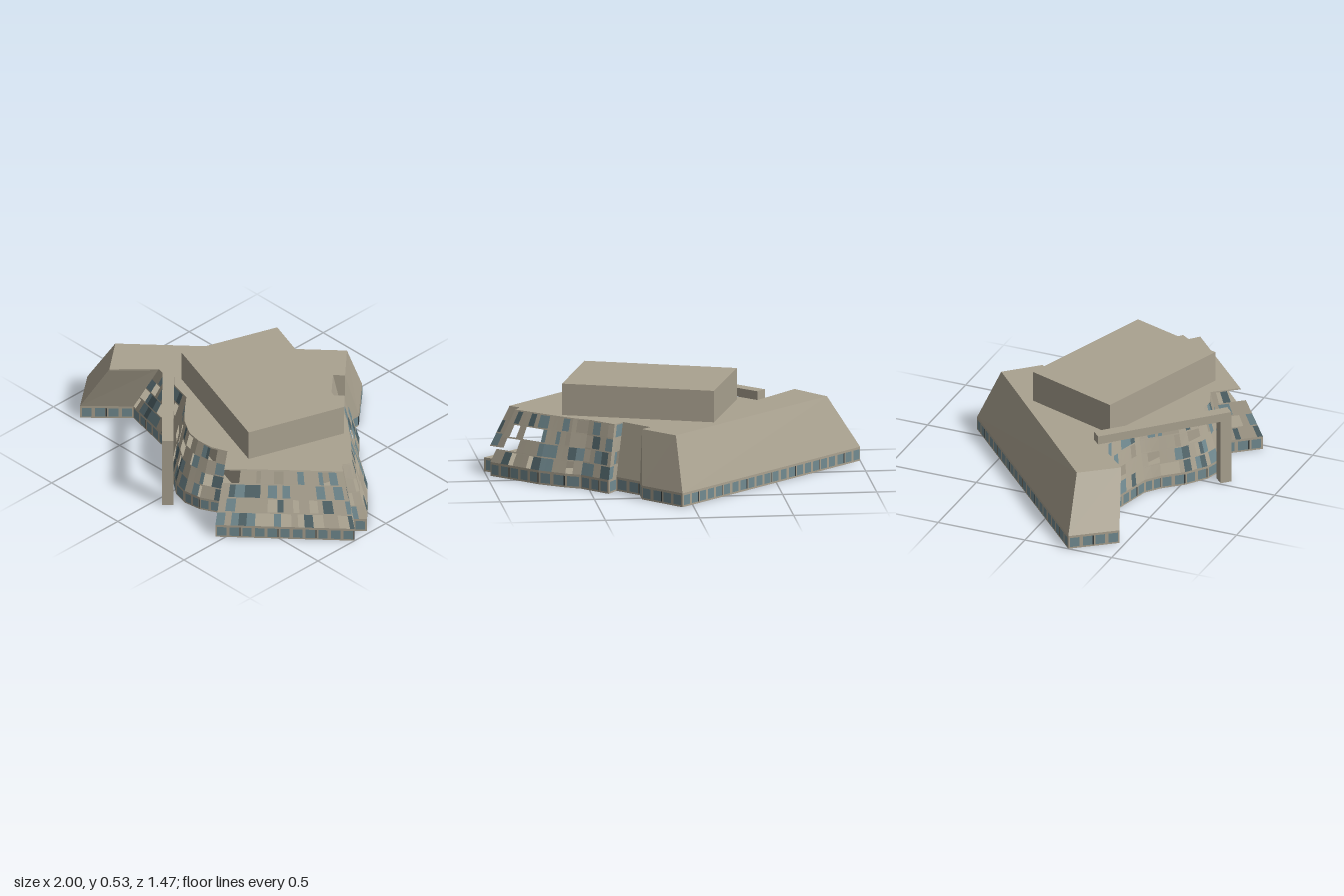
import * as THREE from 'three';

const mat = (name, color) => {
  const m = new THREE.MeshStandardMaterial({ color });
  m.name = name;
  return m;
};

// Outline, counterclockwise from above: [base x, base z, roof x, roof z]
const OUTLINE = [
  [-1, 0.25, -0.82, 0.22], [-0.83, 0.47, -0.67, 0.41], [-0.63, 0.27, -0.49, 0.22],
  [-0.25, 0.36, -0.2, 0.3], [-0.17, 0.42, -0.13, 0.38], [-0.08, 0.52, -0.05, 0.46],
  [0.03, 0.6, 0.05, 0.52], [0.12, 0.625, 0.13, 0.535], [0.22, 0.61, 0.22, 0.53],
  [0.32, 0.56, 0.31, 0.495], [0.46, 0.73, 0.415, 0.62], [1, 0.23, 0.87, 0.19],
  [0.93, 0.17, 0.82, 0.145], [0.98, 0.12, 0.85, 0.1], [0.75, -0.11, 0.68, -0.05],
  [0.62, -0.2, 0.57, -0.14], [0.54, -0.24, 0.49, -0.19], [0.41, -0.38, 0.37, -0.31],
  [0.36, -0.31, 0.32, -0.26], [0.25, -0.43, 0.19, -0.4], [0.25, -0.53, 0.24, -0.44],
  [0.06, -0.74, 0.08, -0.61],
];
const FACADE_FROM = 2, FACADE_TO = 18;
const BASE_Y = 0.075, ROOF_Y = 0.36, ROWS = 4;

// Small seeded generator
let seed = 7;
const rand = () => (seed = (seed * 16807) % 2147483647) / 2147483647;

// Collects quads into one flat-shaded mesh
class Quads {
  constructor() { this.p = []; }
  add(a, b, c, d) {
    for (const v of [a, b, c, a, c, d]) this.p.push(v.x, v.y, v.z);
  }
  mesh(name, material) {
    const g = new THREE.BufferGeometry();
    g.setAttribute('position', new THREE.Float32BufferAttribute(this.p, 3));
    g.computeVertexNormals();
    const m = new THREE.Mesh(g, material);
    m.name = name;
    return m;
  }
}

// Upright prism over a plan polygon of [x, z] points
function prism(name, pts, y0, y1, material) {
  const shape = new THREE.Shape(pts.map(([x, z]) => new THREE.Vector2(x, -z)));
  const g = new THREE.ExtrudeGeometry(shape, { depth: y1 - y0, bevelEnabled: false });
  g.rotateX(-Math.PI / 2).translate(0, y0, 0);
  const m = new THREE.Mesh(g, material);
  m.name = name;
  return m;
}

export function createModel() {
  const group = new THREE.Group();
  const stone = mat('stone', 0xaaa290);
  const glass = mat('glass', 0x718a90);
  const darkGlass = mat('darkGlass', 0x52666b);
  const mullion = mat('mullion', 0x343b3d);

  // Base storey, roof slab, central core
  group.add(prism('baseStorey', OUTLINE.map(p => [p[0], p[1]]), 0, BASE_Y, stone));
  group.add(prism('roofSlab', OUTLINE.map(p => [p[2], p[3]]), ROOF_Y - 0.008, ROOF_Y, stone));
  group.add(prism('core', [[-0.155, -0.325], [-0.34, 0.2], [0.44, 0.465], [0.62, -0.06]],
    BASE_Y, 0.53, stone));

  // Freestanding frame: long beam and its outer leg
  const frame = new THREE.Group();
  frame.name = 'entranceFrame';
  frame.add(prism('beam', [[-0.487, 0.197], [0.053, 0.727], [0.096, 0.685], [-0.442, 0.152]],
    ROOF_Y + 0.005, 0.412, stone));
  frame.add(prism('leg', [[0.01, 0.685], [0.053, 0.727], [0.096, 0.685], [0.053, 0.643]],
    0, ROOF_Y + 0.005, stone));
  group.add(frame);

  const walls = new Quads(), rails = new Quads();
  const stonePanels = new Quads(), glassPanels = new Quads(), darkPanels = new Quads();
  const baseWindows = new Quads(), baseMullions = new Quads();

  OUTLINE.forEach((p, i) => {
    const q = OUTLINE[(i + 1) % OUTLINE.length];
    const b0 = new THREE.Vector3(p[0], BASE_Y, p[1]), b1 = new THREE.Vector3(q[0], BASE_Y, q[1]);
    const t0 = new THREE.Vector3(p[2], ROOF_Y, p[3]), t1 = new THREE.Vector3(q[2], ROOF_Y, q[3]);
    const length = b0.distanceTo(b1);
    const out = new THREE.Vector3(b0.z - b1.z, 0, b1.x - b0.x).normalize();
    out.set((b0.z - b1.z) / length, 0, (b1.x - b0.x) / length);
    const at = (u, v) => b0.clone().lerp(b1, u).lerp(t0.clone().lerp(t1, u), v);

    // Window band of the base storey
    const n = Math.max(1, Math.round(length / 0.066));
    const pane = (u0, u1, y0, y1, set) => {
      const pt = (u, y) => b0.clone().lerp(b1, u).setY(y).addScaledVector(out, 0.002);
      set.add(pt(u0, y0), pt(u1, y0), pt(u1, y1), pt(u0, y1));
    };
    for (let k = 0; k < n; k++) {
      pane((k + 0.13) / n, (k + 0.87) / n, 0.01, 0.063, baseWindows);
      if (k % 3 === 1) pane((k + 0.9) / n, (k + 1) / n, 0.01, 0.063, baseMullions);
    }

    // Plain sloping walls
    if (i < FACADE_FROM || i >= FACADE_TO) {
      walls.add(b0, b1, t1, t0);
      return;
    }

    // Panelled facade: irregular strips with open gaps, and thin floor rails
    for (let r = 0; r < ROWS; r++) {
      const v0 = r / ROWS, v1 = (r + 1) / ROWS;
      rails.add(at(0, v1 - 0.025), at(1, v1 - 0.025), at(1, v1), at(0, v1));
      let u = 0;
      while (u < 1) {
        let e = u + (0.022 + 0.036 * rand()) / length;
        if (e > 1 - 0.015 / length) e = 1;
        const k = rand();
        const set = k < 0.48 ? stonePanels : k < 0.67 ? glassPanels : k < 0.78 ? darkPanels : null;
        if (set) set.add(at(u, v0), at(e, v0), at(e, v1 - 0.025), at(u, v1 - 0.025));
        u = e;
      }
    }
  });

  group.add(
    walls.mesh('slopingWalls', stone),
    rails.mesh('floorRails', stone),
    stonePanels.mesh('stonePanels', stone),
    glassPanels.mesh('glassPanels', glass),
    darkPanels.mesh('darkGlassPanels', darkGlass),
    baseWindows.mesh('baseWindows', glass),
    baseMullions.mesh('baseMullions', mullion),
  );
  return group;
}
